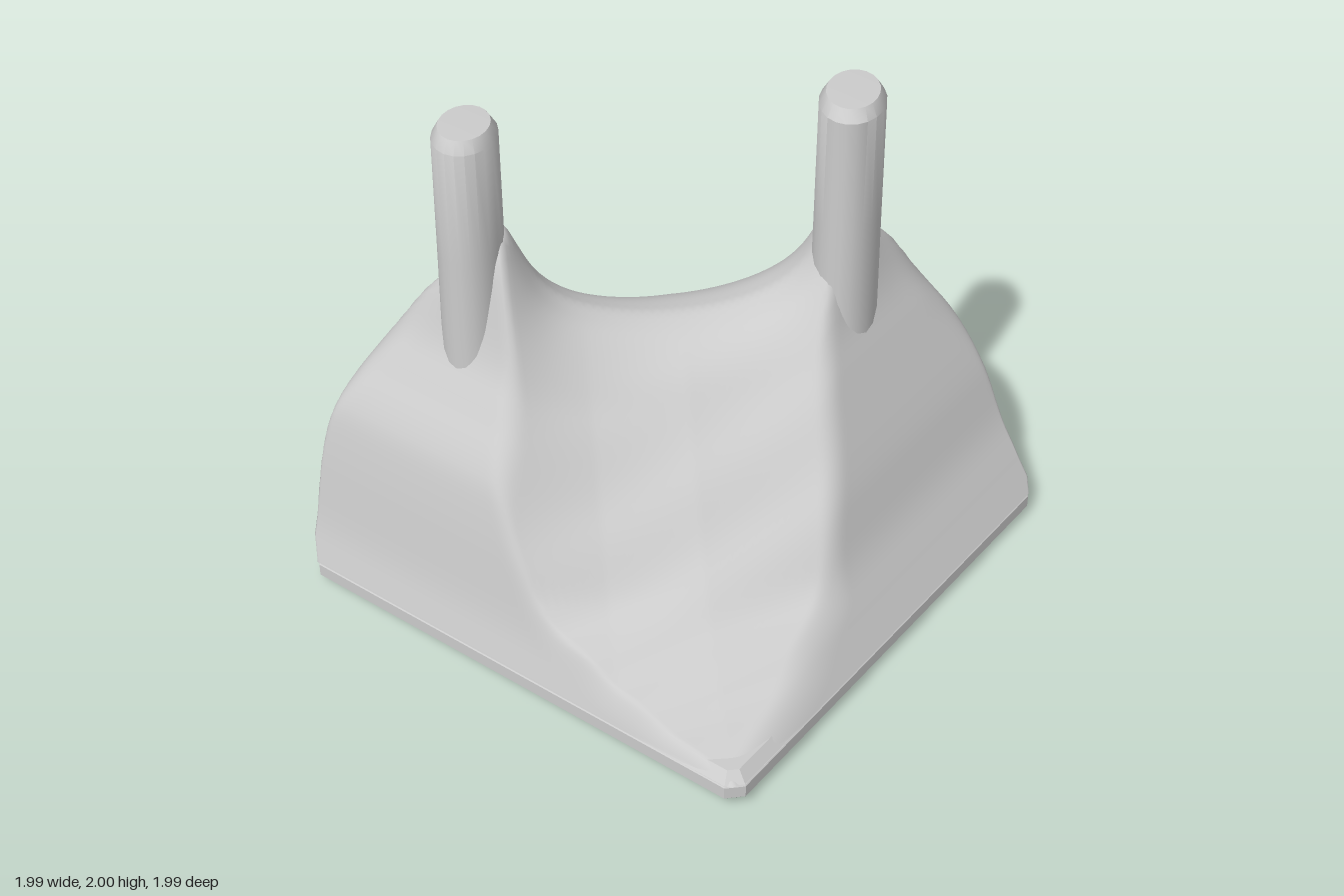
import * as THREE from 'three';
import { toCreasedNormals } from 'three/addons/utils/BufferGeometryUtils.js';

// a, b: half axes of the oval; footX, footZ: centre of the flare at the foot
const towers = [
  { name: 'backTower', x: -0.525, z: -0.505, a: 0.145, b: 0.115, flare: 0.32, footX: -0.52, footZ: -0.505 },
  { name: 'frontTower', x: 0.435, z: 0.425, a: 0.165, b: 0.12, flare: 0.15, footX: 0.5, footZ: 0.4 },
];
const TURN = 0.45;

// slope profiles: [distance from the centre line, height]
const steepWall = [[0.5, 1.5], [0.58, 1.38], [0.7, 1.25], [0.8, 1.1], [0.92, 0.9], [0.96, 0.77], [0.985, 0.55], [1, 0.1]];
const frontSlope = [[0.45, 1.45], [0.51, 1.17], [0.6, 0.96], [0.75, 0.63], [0.834, 0.4], [0.92, 0.24], [1, 0.1]];
const leftSlope = [[0.55, 1.45], [0.63, 1.14], [0.72, 0.98], [0.85, 0.77], [0.9, 0.57], [0.95, 0.28], [1, 0.1]];
const saddle = [[0, 1.12], [0.1, 1.08], [0.2, 0.98], [0.3, 0.82], [0.45, 0.56], [0.585, 0.36], [0.7, 0.27], [0.85, 0.18], [1, 0.12]];

// smooth curve through the points of a profile
function profile(points, t) {
  const last = points.length - 1;
  if (t >= points[last][0]) return points[last][1];
  if (t <= points[0][0]) return points === saddle ? points[0][1] : points[0][1] + (points[0][0] - t) * 3;
  const i = points.findIndex((p) => p[0] > t);
  const slope = (k) => {
    const p = points[Math.max(k - 1, 0)], q = points[Math.min(k + 1, last)];
    return (q[1] - p[1]) / (q[0] - p[0]);
  };
  const [t0, h0] = points[i - 1], [t1, h1] = points[i];
  const w = t1 - t0, u = (t - t0) / w, v = 1 - u;
  return h0 * v * v * (1 + 2 * u) + h1 * u * u * (3 - 2 * u) + w * u * v * (slope(i - 1) * v - slope(i) * u);
}

function softMin(a, b, k) {
  const h = Math.max(k - Math.abs(a - b), 0) / k;
  return Math.min(a, b) - h * h * k * 0.25;
}

// height of the hill: a diagonal saddle ridge cut by four outer slopes
function hillHeight(x, z) {
  const d = (x - z) / 2, s = (x + z) / 2;
  const shift = (d < 0 ? 0.04 : 0) + 0.03 * Math.min(1, Math.max(0, -s * 4));
  const across = Math.abs(d) + shift * Math.min(1, Math.abs(d) * 5);
  let h = profile(saddle, across);
  h += 0.95 * s * s * Math.max(0, 1 - Math.pow(across / 0.55, 4));
  // faint folds in the front right hollow
  if (d < 0) h -= 0.008 * Math.sin(23 * (z - 0.55 * x - 0.6)) * Math.sin(Math.PI * Math.min(1, -d));
  // flares at the tower feet
  for (const t of towers) {
    const dx = x - t.footX, dz = z - t.footZ, c = Math.cos(TURN), n = Math.sin(TURN);
    const e = Math.hypot((dx * c - dz * n) / t.a, (dx * n + dz * c) / t.b);
    h += t.flare * Math.exp(-Math.max(0, e - 1) * 1.6);
  }
  h = softMin(h, 1.55, 0.2);
  // rounded corner ridges of the two buttresses
  const front = softMin(profile(steepWall, x), profile(frontSlope, z), 0.25);
  const back = softMin(profile(steepWall, -z), profile(leftSlope, -x), 0.2);
  return Math.max(softMin(softMin(h, front, 0.1), back, 0.1), 0.1);
}

export function createModel() {
  const model = new THREE.Group();
  const material = new THREE.MeshStandardMaterial({ color: 0xcccccc });
  const add = (geometry, name) => {
    const mesh = new THREE.Mesh(geometry, material);
    mesh.name = name;
    model.add(mesh);
  };

  // hill surface, with the grid drawn tighter towards the edges and the corners trimmed
  const hill = new THREE.PlaneGeometry(2, 2, 120, 120).rotateX(-Math.PI / 2);
  const p = hill.attributes.position;
  const tighten = (t) => Math.sign(t) * (1 - Math.pow(1 - Math.min(1, Math.abs(t)), 1.6));
  for (let i = 0; i < p.count; i++) {
    const x = tighten(p.getX(i)), z = tighten(p.getZ(i));
    const trim = 0.992 * Math.min(1, 1.96 / (Math.abs(x) + Math.abs(z) + 1e-6));
    p.setXYZ(i, x * trim, hillHeight(x, z), z * trim);
  }
  hill.computeVertexNormals();
  add(hill, 'hill');

  // square plinth with cut corners and chamfered edges
  const H = 0.955, C = 0.925;
  const outline = new THREE.Shape(
    [[H, -C], [H, C], [C, H], [-C, H], [-H, C], [-H, -C], [-C, -H], [C, -H]].map(([x, y]) => new THREE.Vector2(x, y)));
  add(new THREE.ExtrudeGeometry(outline, { depth: 0.05, bevelThickness: 0.045, bevelSize: 0.04, bevelSegments: 1 })
    .rotateX(-Math.PI / 2).translate(0, 0.045, 0), 'plinth');

  // oval towers with bevelled tops
  const side = [[1.04, 0.85], [1.02, 1.2], [1, 1.5], [0.98, 1.955], [0.78, 1.997], [0, 2]]
    .map(([r, y]) => new THREE.Vector2(r, y));
  for (const t of towers) {
    const geometry = new THREE.LatheGeometry(side, 20)
      .scale(t.a, 1, t.b).rotateY(TURN).translate(t.x, 0, t.z);
    add(toCreasedNormals(geometry, 0.6), t.name);
  }
  return model;
}
